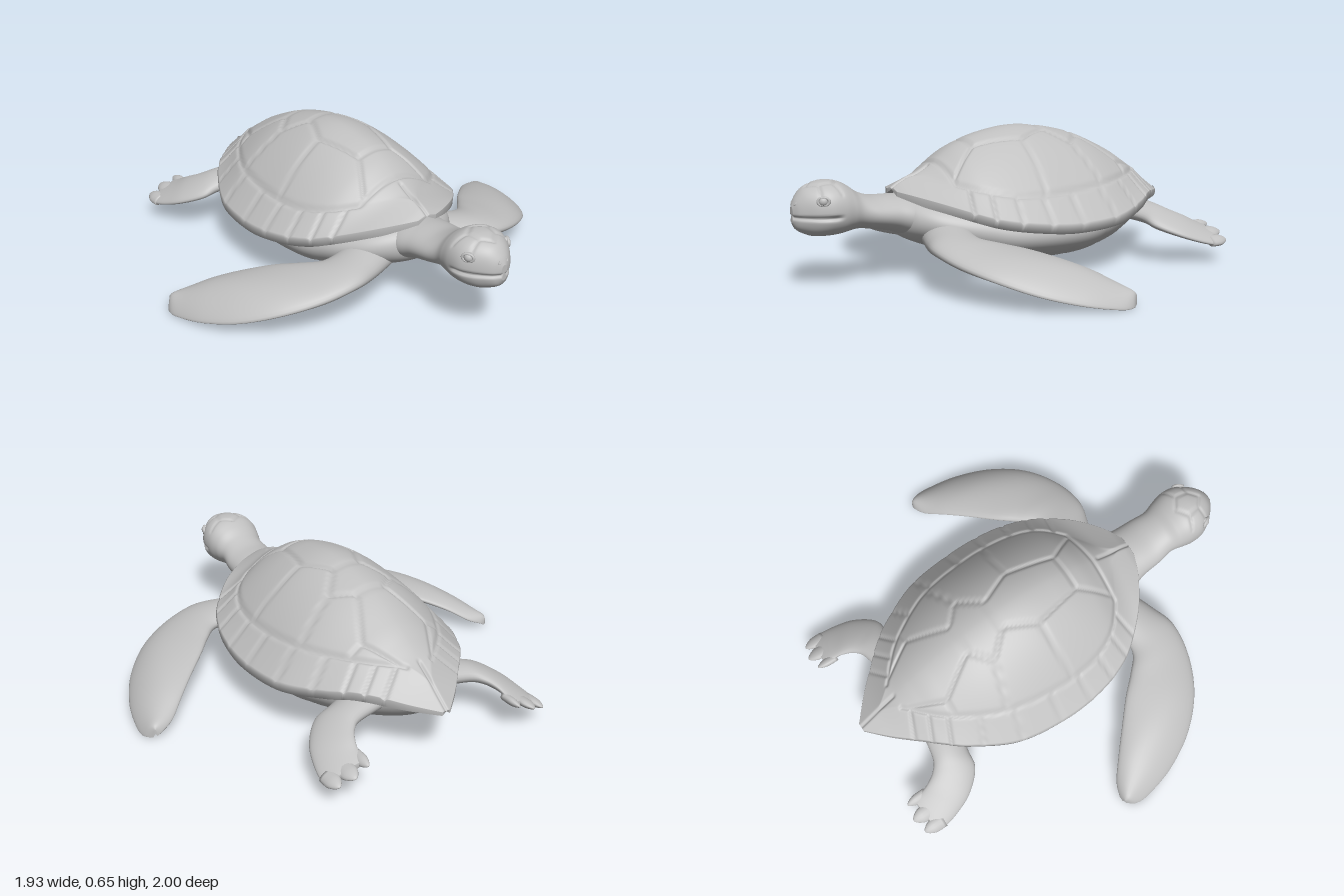
import * as THREE from 'three';

const skinGrey = new THREE.MeshStandardMaterial({ color: 0xc0c0c0 });
skinGrey.name = 'stone grey';

// Smooth interpolation through rows of numbers, t in 0..1
function sample(rows, t) {
  const f = t * (rows.length - 1);
  const i = Math.min(Math.floor(f), rows.length - 2);
  const u = f - i;
  const at = k => rows[Math.max(0, Math.min(rows.length - 1, k))];
  const [a, b, c, d] = [at(i - 1), at(i), at(i + 1), at(i + 2)];
  return b.map((_, k) => b[k] + 0.5 * u * (c[k] - a[k]
    + u * (2 * a[k] - 5 * b[k] + 4 * c[k] - d[k] + u * (3 * (b[k] - c[k]) + d[k] - a[k]))));
}

// Closed skin over equal rings of [x, y, z] points, capped at both ends
function skin(rings) {
  const n = rings[0].length, m = rings.length, index = [];
  const points = rings.flat();
  for (const ring of [rings[0], rings[m - 1]]) {
    points.push([0, 1, 2].map(k => ring.reduce((s, p) => s + p[k], 0) / n));
  }
  for (let j = 0; j < n; j++) {
    const k = (j + 1) % n;
    for (let i = 0; i < m - 1; i++) {
      const a = i * n + j, b = i * n + k;
      index.push(a, b, a + n, b, b + n, a + n);
    }
    index.push(n * m, k, j, n * m + 1, (m - 1) * n + j, (m - 1) * n + k);
  }
  // turn the faces outward
  let volume = 0;
  const v = [0, 1, 2].map(() => new THREE.Vector3());
  for (let i = 0; i < index.length; i += 3) {
    v.forEach((p, k) => p.fromArray(points[index[i + k]]));
    volume += v[0].dot(v[1].cross(v[2]));
  }
  if (volume < 0) index.reverse();
  const g = new THREE.BufferGeometry();
  g.setAttribute('position', new THREE.Float32BufferAttribute(points.flat(), 3));
  g.setIndex(index);
  g.computeVertexNormals();
  return g;
}

// Oval loft; each row is one edge point, the opposite edge point, half thickness
function loft(rows, along, around, shape = p => p) {
  const rings = [];
  for (let i = 0; i <= along; i++) {
    const [ax, ay, az, bx, by, bz, h] = sample(rows, i / along);
    const ring = [];
    for (let j = 0; j < around; j++) {
      const q = j / around * Math.PI * 2;
      const c = (1 + Math.cos(q)) / 2, s = Math.sin(q);
      ring.push(shape([bx + (ax - bx) * c, by + (ay - by) * c + h * s, bz + (az - bz) * c], s));
    }
    rings.push(ring);
  }
  return skin(rings);
}

// Symmetric row from depth, half width, top and bottom
const oval = ([z, w, top, bottom]) => [w, (top + bottom) / 2, z, -w, (top + bottom) / 2, z, (top - bottom) / 2];
const mirror = rows => rows.map(r => r.map((v, k) => (k === 0 || k === 3 ? -v : v)));

// Groove strength near any segment [x1, z1, x2, z2], symmetric in x
function groove(x, z, segments, width) {
  let best = 1;
  const ax = Math.abs(x);
  for (const [x1, z1, x2, z2] of segments) {
    const dx = x2 - x1, dz = z2 - z1;
    const t = Math.max(0, Math.min(1, ((ax - x1) * dx + (z - z1) * dz) / (dx * dx + dz * dz)));
    best = Math.min(best, Math.hypot(ax - x1 - t * dx, z - z1 - t * dz));
  }
  return Math.exp(-((best / width) ** 2));
}

// Upper shell rows: z, rim half width, rim y, dome half width, dome edge y, ridge y
const SHELL = [
  [0.52, 0.05, 0.41, 0.001, 0.425, 0.425],
  [0.48, 0.14, 0.40, 0.001, 0.45, 0.45],
  [0.40, 0.26, 0.375, 0.04, 0.47, 0.475],
  [0.30, 0.36, 0.34, 0.20, 0.445, 0.53],
  [0.20, 0.43, 0.31, 0.31, 0.42, 0.59],
  [0.05, 0.48, 0.285, 0.37, 0.395, 0.64],
  [-0.15, 0.497, 0.265, 0.38, 0.395, 0.66],
  [-0.40, 0.465, 0.27, 0.34, 0.41, 0.615],
  [-0.60, 0.365, 0.30, 0.235, 0.42, 0.53],
  [-0.70, 0.29, 0.32, 0.15, 0.42, 0.47],
  [-0.78, 0.215, 0.315, 0.06, 0.41, 0.415],
  [-0.88, 0.12, 0.295, 0.001, 0.35, 0.35],
  [-0.97, 0.02, 0.275, 0.001, 0.283, 0.283],
];

function shellGeometry() {
  // plates of the dome
  const lines = [
    [0, 0.155, 0.09, 0.155], [0.09, 0.155, 0.14, -0.08], [0.14, -0.08, 0.07, -0.23],
    [0, -0.23, 0.07, -0.23], [0.07, -0.23, 0.165, -0.335], [0.165, -0.335, 0.07, -0.42],
    [0, -0.42, 0.07, -0.42], [0.07, -0.42, 0.17, -0.6], [0.17, -0.6, 0.08, -0.76],
    [0.14, -0.08, 0.38, -0.06], [0.165, -0.335, 0.35, -0.39], [0.17, -0.6, 0.23, -0.6],
    [0.09, 0.155, 0.17, 0.29], [0, 0.31, 0.2, 0.3], [0, 0.34, 0, 0.52], [0, -0.78, 0, -0.97],
  ];
  // dome border and rim plates
  const rim = i => sample(SHELL, 0.25 + i / 20 * 0.58);
  for (let i = 0; i < 20; i++) {
    const a = rim(i), b = rim(i + 1);
    lines.push([a[3], a[0], b[3], b[0]]);
    if (i % 2) lines.push([a[3], a[0], a[1], a[0] + (a[0] + 0.1) * 0.12]);
  }
  const rings = [], along = 170, across = 120;
  for (let i = 0; i <= along; i++) {
    const [z, wo, yo, wi, yi, yr] = sample(SHELL, i / along);
    const thick = Math.min(0.038, 0.015 + wo * 0.12);
    const ring = [];
    for (let j = 0; j <= across; j++) {
      const x = wo * (2 * j / across - 1), ax = Math.abs(x);
      const y = ax < wi ? yi + (yr - yi) * (1 - (ax / wi) ** 1.8)
        : yi + (yo - yi) * (ax - wi) / (wo - wi);
      ring.push([x, y - 0.013 * groove(x, z, lines, 0.008), z]);
    }
    for (let j = 0; j <= 30; j++) {
      const s = 1 - j / 15;
      ring.push([wo * s * 0.985, yo - thick + 0.03 * (1 - s * s), z]);
    }
    rings.push(ring);
  }
  return skin(rings);
}

function bodyGeometry() {
  // belly plates
  const lines = [[0, 0.4, 0, -0.8], [0.17, 0.32, 0.2, -0.1], [0.2, -0.1, 0.12, -0.68], [0.29, 0.2, 0.3, -0.45]];
  for (const z of [0.25, 0.08, -0.1, -0.28, -0.46, -0.62]) lines.push([0, z, 0.34, z + 0.05]);
  const rows = [
    [0.52, 0.07, 0.34, 0.23], [0.47, 0.17, 0.37, 0.19], [0.38, 0.26, 0.38, 0.15], [0.22, 0.34, 0.38, 0.09],
    [0.04, 0.385, 0.36, 0.052], [-0.28, 0.385, 0.36, 0.038], [-0.5, 0.32, 0.38, 0.065],
    [-0.66, 0.23, 0.38, 0.11], [-0.78, 0.15, 0.37, 0.165], [-0.87, 0.07, 0.33, 0.235], [-0.9, 0.02, 0.31, 0.28],
  ].map(oval);
  return loft(rows, 120, 100, ([x, y, z], s) =>
    [x, y + (s < 0 ? -s * 0.011 * groove(x, z, lines, 0.009) : 0), z]);
}

function headGeometry() {
  const scales = [[0, 0.93, 0.04, 0.89], [0.04, 0.89, 0.05, 0.83], [0, 0.79, 0.05, 0.83], [0.05, 0.83, 0.11, 0.81],
    [0.04, 0.89, 0.09, 0.9]];
  const rows = [
    [0.36, 0.13, 0.38, 0.18], [0.46, 0.145, 0.39, 0.2], [0.54, 0.132, 0.395, 0.23], [0.63, 0.125, 0.4, 0.25],
    [0.7, 0.115, 0.425, 0.26], [0.75, 0.127, 0.46, 0.255], [0.8, 0.138, 0.483, 0.248], [0.86, 0.136, 0.487, 0.246],
    [0.91, 0.112, 0.475, 0.25], [0.95, 0.08, 0.455, 0.265], [0.98, 0.048, 0.42, 0.285], [0.997, 0.015, 0.385, 0.315],
  ].map(oval);
  return loft(rows, 100, 100, ([x, y, z], s) => {
    // squarer skull, mouth line and crown scales
    const square = 0.15 * s * s * THREE.MathUtils.smoothstep(z, 0.7, 0.82);
    const mouth = Math.exp(-(((y - 0.34) / 0.008) ** 2)) * THREE.MathUtils.smoothstep(z, 0.8, 0.85);
    const crown = s > 0.4 ? 0.007 * groove(x, z, scales, 0.007) : 0;
    return [x * (1 + square - 0.1 * mouth), y - crown, z - 0.008 * mouth];
  });
}

// Limb rows for the +x side
const FRONT_FLIPPER = [
  [0.1, 0.21, 0.43, 0.13, 0.26, 0.22, 0.07], [0.26, 0.205, 0.49, 0.27, 0.23, 0.27, 0.06],
  [0.39, 0.205, 0.525, 0.39, 0.215, 0.28, 0.048], [0.55, 0.175, 0.5, 0.47, 0.205, 0.215, 0.046],
  [0.71, 0.135, 0.42, 0.55, 0.19, 0.13, 0.04], [0.84, 0.085, 0.29, 0.66, 0.155, 0.03, 0.034],
  [0.925, 0.043, 0.13, 0.75, 0.115, -0.05, 0.028], [0.963, 0.015, -0.02, 0.83, 0.065, -0.115, 0.022],
  [0.962, 0.01, -0.09, 0.89, 0.04, -0.14, 0.016], [0.935, 0.014, -0.13, 0.92, 0.022, -0.14, 0.006],
];
// the outer blade arches between its edges
const arch = ([x, y, z], s) => [x, y + 0.03 * s * s * THREE.MathUtils.smoothstep(Math.abs(x), 0.5, 0.8), z];

const HIND_FLIPPER = [
  [0.16, 0.25, -0.54, 0.14, 0.25, -0.75, 0.055], [0.33, 0.225, -0.615, 0.29, 0.235, -0.775, 0.045],
  [0.43, 0.195, -0.635, 0.345, 0.22, -0.81, 0.038], [0.51, 0.155, -0.72, 0.375, 0.2, -0.86, 0.032],
  [0.55, 0.12, -0.82, 0.385, 0.18, -0.9, 0.027], [0.565, 0.1, -0.9, 0.378, 0.17, -0.93, 0.023],
  [0.56, 0.102, -0.935, 0.385, 0.165, -0.95, 0.014],
];
// webbed toe: x, y, tip z, half width
const TOES = [[0.534, 0.112, -0.983, 0.033], [0.468, 0.138, -1, 0.036], [0.398, 0.163, -0.985, 0.024]];
const toeRows = ([x, y, z, w]) => [[0, 1], [0.045, 1], [0.07, 0.8], [0.09, 0.45], [0.1, 0.12]].map(([d, k]) =>
  [x + w * k, y - w * k * 0.35, z + 0.1 - d, x - w * k, y + w * k * 0.35, z + 0.1 - d, 0.021 * k]);

export function createModel() {
  const model = new THREE.Group();
  model.name = 'sea turtle';
  const add = (name, geometry) => {
    const mesh = new THREE.Mesh(geometry, skinGrey);
    mesh.name = name;
    model.add(mesh);
    return mesh;
  };

  add('upper shell', shellGeometry());
  add('belly shell', bodyGeometry());
  add('head and neck', headGeometry());

  for (const [side, sign] of [['left', 1], ['right', -1]]) {
    const sided = rows => (sign > 0 ? rows : mirror(rows));
    add(`${side} front flipper`, loft(sided(FRONT_FLIPPER), 60, 32, arch));
    add(`${side} hind flipper`, loft(sided(HIND_FLIPPER), 36, 28));
    TOES.forEach((toe, i) => add(`${side} toe ${i + 1}`, loft(sided(toeRows(toe)), 12, 16)));

    // eyeball, lid ring and nostril
    const eye = add(`${side} eye`, new THREE.SphereGeometry(0.022, 20, 14));
    eye.position.set(sign * 0.104, 0.415, 0.893);
    const lid = add(`${side} eyelid`, new THREE.TorusGeometry(0.024, 0.007, 10, 24));
    lid.position.set(sign * 0.112, 0.415, 0.896);
    lid.rotation.y = sign * 1.05;
    lid.scale.y = 0.75;
    const nostril = add(`${side} nostril`, new THREE.TorusGeometry(0.007, 0.003, 8, 14));
    nostril.position.set(sign * 0.018, 0.4, 0.985);
    nostril.rotation.x = -0.5;
  }
  return model;
}
